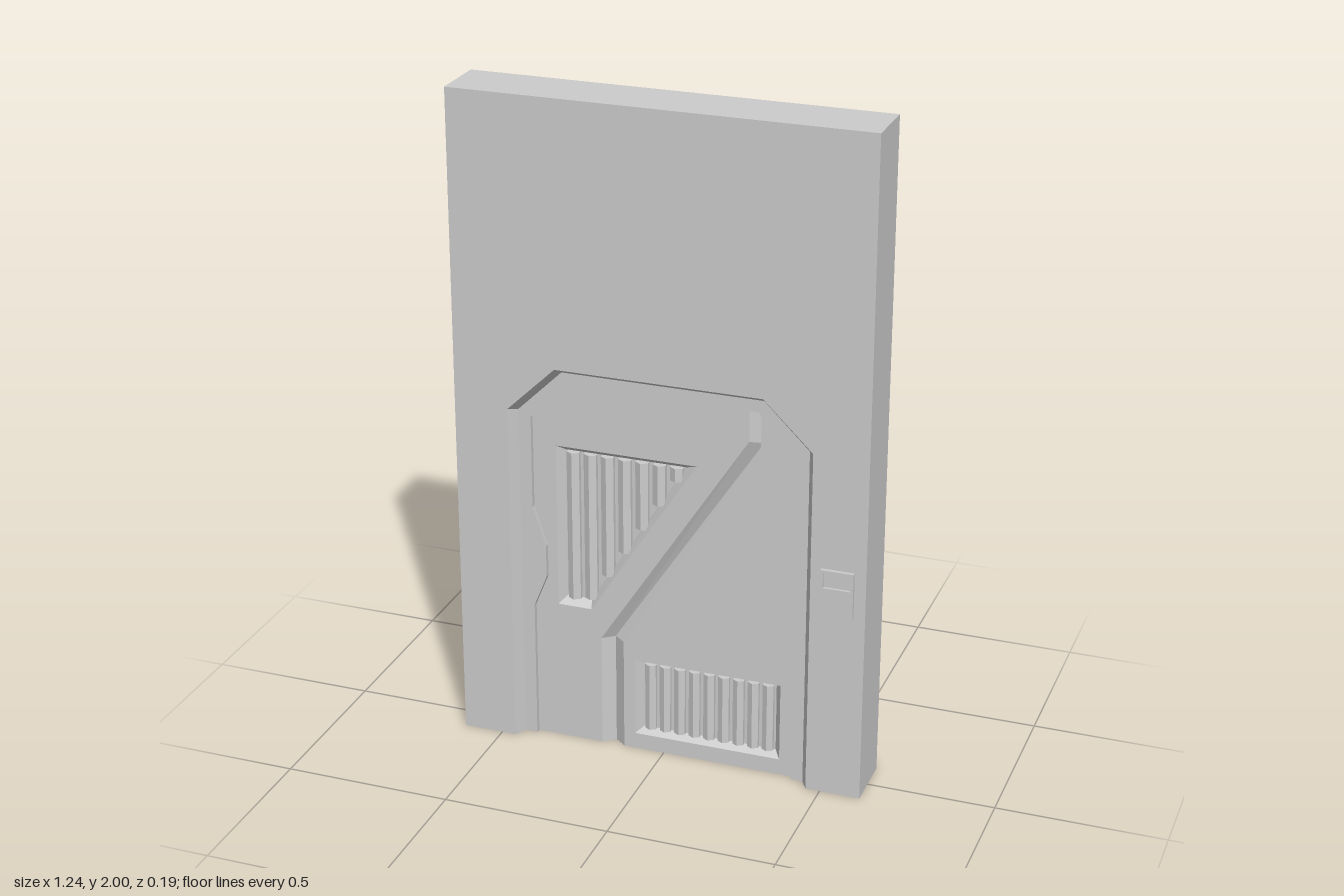
import * as THREE from 'three';

const material = new THREE.MeshStandardMaterial({
  color: 0xcccccc, flatShading: true, side: THREE.DoubleSide,
});

// half depths measured from the middle of the wall
const WALL = 0.09, FRAME = 0.055, PANEL = 0.04, FLOOR = 0.012;

const v2 = (pts) => pts.map(([x, y]) => new THREE.Vector2(x, y));
const at = (pts, z) => pts.map(([x, y]) => [x, y, z]);
// adds the mirrored other side (+x) to a half outline on -x
const mirrored = (half) => [...half, ...half.map(([x, y]) => [-x, y]).reverse()];

function add(parent, name, geometry) {
  const mesh = new THREE.Mesh(geometry, material);
  mesh.name = name;
  parent.add(mesh);
  return mesh;
}

function makeShape(outline, hole) {
  const shape = new THREE.Shape(v2(outline));
  if (hole) shape.holes.push(new THREE.Path(v2(hole)));
  return shape;
}

// slab reaching the same distance either side of z = 0
function slab(outline, halfDepth, hole) {
  const g = new THREE.ExtrudeGeometry(makeShape(outline, hole), { depth: 2 * halfDepth, bevelEnabled: false });
  return g.translate(0, 0, -halfDepth);
}

// strip of quads between two lines of 3D points
function ribbon(a, b, closed = false) {
  const pos = [], index = [], n = a.length;
  for (let i = 0; i < n; i++) pos.push(...a[i], ...b[i]);
  for (let i = 0; i < (closed ? n : n - 1); i++) {
    const p = 2 * i, q = 2 * ((i + 1) % n);
    index.push(p, p + 1, q, q, p + 1, q + 1);
  }
  const g = new THREE.BufferGeometry();
  g.setAttribute('position', new THREE.Float32BufferAttribute(pos, 3));
  g.setIndex(index);
  g.computeVertexNormals();
  return g;
}

// bevelled recess with upright ribs, on one side of the door
function addVent(parent, name, s, outer, inner, count, bottomAt) {
  const vent = new THREE.Group();
  vent.name = name;
  parent.add(vent);
  add(vent, 'ventBevel', ribbon(at(outer, s * PANEL), at(inner, s * FLOOR), true));
  add(vent, 'ventFloor', new THREE.ShapeGeometry(makeShape(inner))).position.z = s * FLOOR;
  const [left, top] = inner[0], pitch = (inner[1][0] - left) / count;
  for (let i = 0; i < count; i++) {
    const x = left + pitch * (i + 0.5), y0 = bottomAt(x), h = top - y0;
    const rib = add(vent, 'ventRib', new THREE.CylinderGeometry(pitch * 0.42, pitch * 0.42, h, 6));
    rib.position.set(x, y0 + h / 2, s * (FLOOR + 0.002));
  }
}

export function createModel() {
  const model = new THREE.Group();
  model.name = 'wallWithDoor';
  const body = new THREE.Group();
  body.name = 'wallAndDoor';
  body.position.z = -0.005;
  model.add(body);

  // outlines
  const wallLine = mirrored([[-0.62, 0], [-0.62, 2]]);
  const opening = mirrored([[-0.457, 0], [-0.457, 1.065], [-0.31, 1.207]]);
  const frameLine = mirrored([[-0.437, 0], [-0.437, 1.055], [-0.302, 1.187]]);
  const wavyLine = mirrored([
    [-0.4, 0], [-0.4, 0.43], [-0.36, 0.53], [-0.36, 0.63], [-0.4, 0.75],
    [-0.4, 1.035], [-0.285, 1.15], [-0.13, 1.15], [-0.06, 1.11],
  ]);

  // groove running down across the door
  const grooveLeft = [[-0.195, 0], [-0.195, 0.35], [0.255, 1.05], [0.255, 1.16]];
  const grooveMid = [[-0.16, 0], [-0.16, 0.35], [0.29, 1.04], [0.29, 1.16]];
  const grooveRight = [[-0.125, 0], [-0.125, 0.35], [0.29, 1.04], [0.29, 1.16]];
  const grooveZ = 0.012;

  // vents: upper one is cut by the slanting groove
  const upperOuter = [[-0.33, 0.95], [0.1, 0.95], [-0.225, 0.44], [-0.33, 0.44]];
  const upperInner = [[-0.31, 0.93], [0.06, 0.93], [-0.235, 0.46], [-0.31, 0.46]];
  const lowerOuter = [[-0.09, 0.295], [0.36, 0.295], [0.36, 0.05], [-0.09, 0.05]];
  const lowerInner = [[-0.07, 0.28], [0.34, 0.28], [0.34, 0.065], [-0.07, 0.065]];

  // wall shell, open underneath
  add(body, 'wallEdge', ribbon(at(wallLine, WALL), at(wallLine, -WALL)));
  const wallShape = makeShape([...wallLine, ...[...opening].reverse()]);

  // door frame with wavy inner edge, and the two door panels
  add(body, 'doorFrame', slab([...frameLine, ...[...wavyLine].reverse()], FRAME));
  add(body, 'doorPanelUpper', slab(
    [...grooveLeft, [-0.29, 1.165], [-0.42, 1.045], [-0.42, 0]], PANEL, upperOuter));
  add(body, 'doorPanelLower', slab(
    [...grooveRight, [0.42, 1.045], [0.42, 0]], PANEL, lowerOuter));

  // details on both sides
  for (const s of [1, -1]) {
    add(body, 'wallFace', new THREE.ShapeGeometry(wallShape)).position.z = s * WALL;
    add(body, 'openingBevel', ribbon(at(opening, s * WALL), at(frameLine, s * FRAME)));
    add(body, 'grooveSlope', ribbon(at(grooveLeft, s * PANEL), at(grooveMid, s * grooveZ)));
    add(body, 'grooveSlope', ribbon(at(grooveMid, s * grooveZ), at(grooveRight, s * PANEL)));
    addVent(body, 'upperVent', s, upperOuter, upperInner, 7,
      (x) => Math.max(0.46, 0.46 + (x + 0.235) * 1.593));
    addVent(body, 'lowerVent', s, lowerOuter, lowerInner, 9, () => 0.065);
  }

  // underside of the groove
  const section = (s) => [[-0.195, 0, s * PANEL], [-0.16, 0, s * grooveZ], [-0.125, 0, s * PANEL]];
  add(body, 'grooveUnderside', ribbon(section(1), section(-1)));

  // control plate beside the door, with a shallow screen recess
  const plate = new THREE.Group();
  plate.name = 'controlPlate';
  model.add(plate);
  add(plate, 'plateBody', new THREE.ExtrudeGeometry(makeShape(
    [[0.488, 0.58], [0.586, 0.58], [0.586, 0.72], [0.488, 0.72]],
    [[0.497, 0.665], [0.577, 0.665], [0.577, 0.711], [0.497, 0.711]],
  ), { depth: 0.012, bevelEnabled: false })).position.z = 0.085 - 0.001;
  add(plate, 'plateScreen', new THREE.BoxGeometry(0.084, 0.05, 0.004)).position.set(0.537, 0.688, 0.086);

  return model;
}
